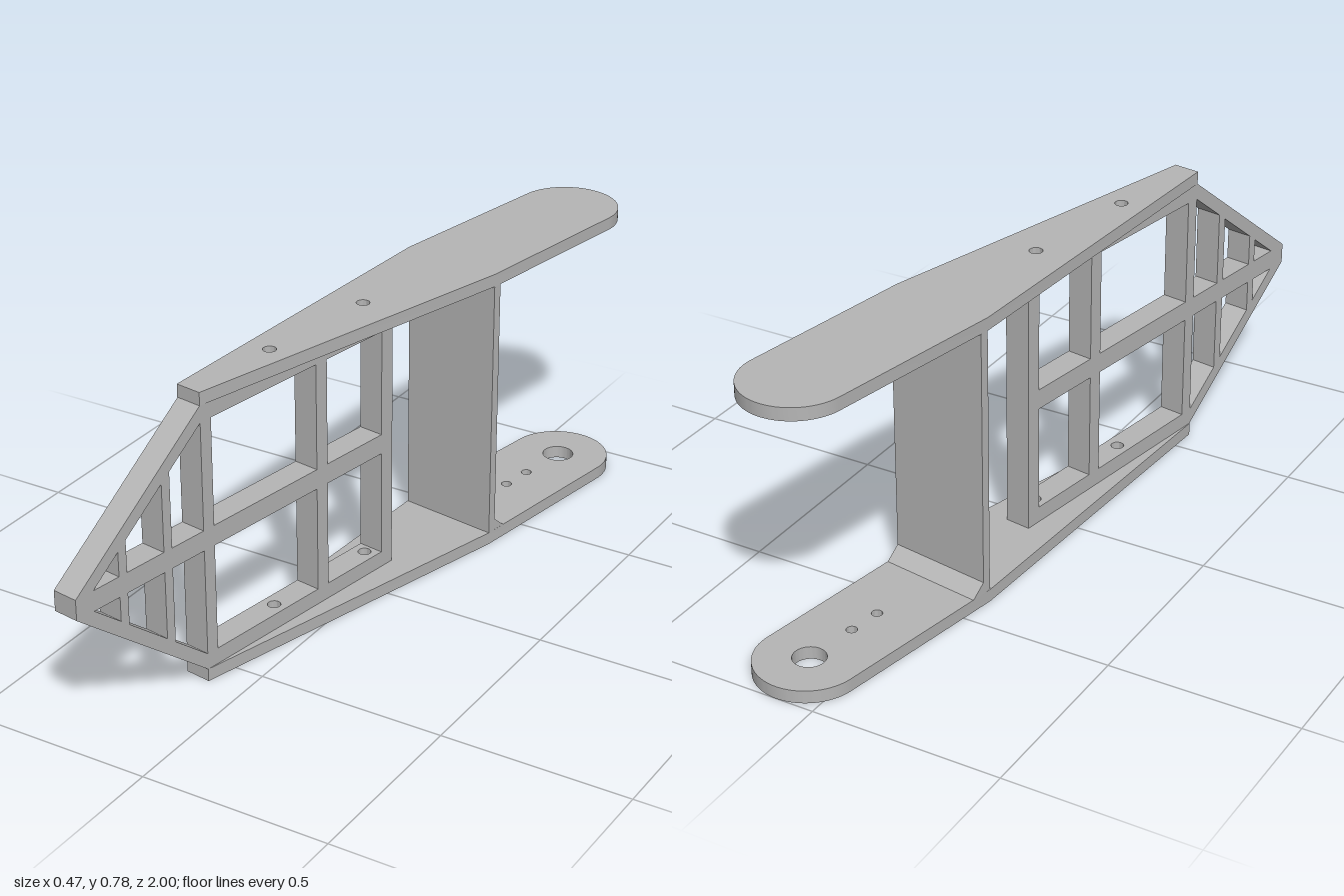
import * as THREE from 'three';
import { toCreasedNormals } from 'three/addons/utils/BufferGeometryUtils.js';

const H = 0.78, PLATE = 0.034, RAIL = 0.077, THICK = 0.07, ANGLE = -0.157;
const BEAM_LOW = 0.363, BEAM_HIGH = H - BEAM_LOW;

const polygon = (pts, Type = THREE.Shape) => new Type(pts.map(p => new THREE.Vector2(...p)));

function addHole(shape, x, z, r) {
  const hole = new THREE.Path();
  hole.absarc(x, -z, r, 0, Math.PI * 2, true);
  shape.holes.push(hole);
}

function extrude(shape, depth) {
  return new THREE.ExtrudeGeometry(shape, { depth, bevelEnabled: false, curveSegments: 24 });
}

// Extrudes a plan shape (drawn as x, -z) upwards from height y
function slab(shape, y, depth) {
  const g = extrude(shape, depth).rotateX(-Math.PI / 2).translate(0, y, 0);
  return toCreasedNormals(g, 0.6);
}

export function createModel() {
  const model = new THREE.Group();
  const grey = new THREE.MeshStandardMaterial({ color: 0xb6b6b6 });
  grey.name = 'grey';
  const add = (parent, name, geometry) => {
    const mesh = new THREE.Mesh(geometry, grey);
    mesh.name = name;
    parent.add(mesh);
    return mesh;
  };
  const box = (parent, name, x0, x1, y0, y1, z0, z1) => add(parent, name,
    new THREE.BoxGeometry(x1 - x0, y1 - y0, z1 - z0)
      .translate((x0 + x1) / 2, (y0 + y1) / 2, (z0 + z1) / 2));

  // Long side plates with a rounded tail and screw holes
  const plateShape = () => {
    const s = new THREE.Shape();
    s.moveTo(-0.17, -0.574);
    s.lineTo(-0.1, -0.585);
    s.lineTo(0.155, 0.36);
    s.absarc(0.1, 0.865, 0.135, -0.158, Math.PI - 0.162, false);
    s.lineTo(-0.12, 0.403);
    s.closePath();
    addHole(s, -0.09, 0.305, 0.017);
    addHole(s, -0.04, -0.04, 0.017);
    return s;
  };
  const lower = plateShape();
  addHole(lower, 0.1, -0.862, 0.042);
  addHole(lower, 0.077, -0.717, 0.014);
  addHole(lower, 0.063, -0.628, 0.014);
  add(model, 'lowerPlate', slab(lower, 0, PLATE));
  add(model, 'upperPlate', slab(plateShape(), H - PLATE, PLATE));

  // Pivot peg under the upper plate
  add(model, 'pivotPeg', new THREE.CylinderGeometry(0.036, 0.036, 0.034, 40))
    .position.set(0.1, H - PLATE - 0.015, -0.862);

  // Cross panel between the plates, with a sloped foot behind it
  const panel = new THREE.Group();
  panel.name = 'crossPanel';
  panel.position.set(0.155, 0, -0.36);
  panel.rotation.y = ANGLE;
  model.add(panel);
  box(panel, 'panelWall', -0.278, 0, PLATE, H - PLATE, -0.024, 0);
  const foot = polygon([[-0.062, PLATE], [-0.024, PLATE], [-0.024, 0.066]]);
  add(panel, 'panelFoot', extrude(foot, 0.278).rotateY(-Math.PI / 2));

  // Lattice frame: local z runs along it, its outer face lies at local x = 0
  const frame = new THREE.Group();
  frame.name = 'latticeFrame';
  frame.position.set(-0.1, 0, 0.585);
  frame.rotation.y = ANGLE;
  model.add(frame);

  // Rails, drilled in line with the plates
  const END = -0.695, FRONT = -0.036;
  for (const [name, y] of [['lowerRail', PLATE], ['upperRail', H - RAIL]]) {
    const s = polygon([[-THICK, -FRONT], [0, -FRONT], [0, -END], [-THICK, -END]]);
    addHole(s, -0.035, -0.278, 0.017);
    addHole(s, -0.035, -0.627, 0.017);
    add(frame, name, slab(s, y, RAIL - PLATE));
  }

  // Uprights and middle beam
  for (const [z0, z1] of [[END, -0.653], [-0.445, -0.405]]) {
    box(frame, 'upright', -THICK, 0, RAIL, BEAM_LOW, z0, z1);
    box(frame, 'upright', -THICK, 0, BEAM_HIGH, H - RAIL, z0, z1);
  }
  box(frame, 'middleBeam', -THICK, 0, BEAM_LOW, BEAM_HIGH, END, FRONT);

  // Tapered nose with mirrored openings
  const TIP = 0.419;
  const nose = polygon([[FRONT, PLATE], [0, PLATE], [TIP, BEAM_LOW],
    [TIP, BEAM_HIGH], [0, H - PLATE], [FRONT, H - PLATE]]);
  const slope = s => 0.702 - 0.785 * s;
  for (const [a, b] of [[0, 0.107], [0.134, 0.255], [0.281, 0.363]]) {
    const pts = [[a, BEAM_HIGH], [b, BEAM_HIGH], [a, slope(a)]];
    if (slope(b) > BEAM_HIGH + 0.01) pts.splice(2, 0, [b, slope(b)]);
    nose.holes.push(polygon(pts, THREE.Path));
    nose.holes.push(polygon(pts.map(([s, y]) => [s, H - y]), THREE.Path));
  }
  add(frame, 'nose', extrude(nose, THICK).rotateY(-Math.PI / 2));

  return model;
}
